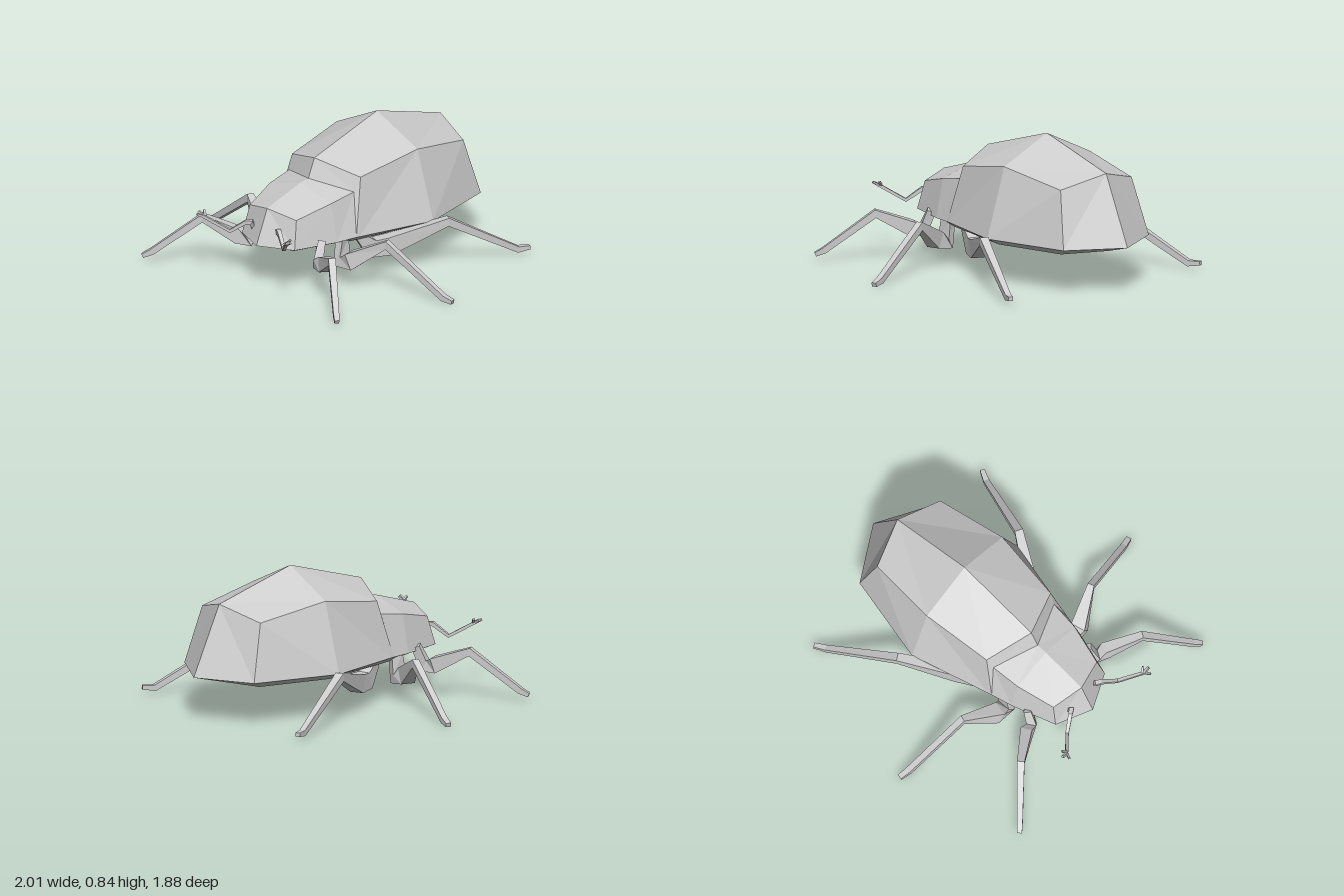
import * as THREE from 'three';

const shell = new THREE.MeshStandardMaterial({ color: 0xcccccc, flatShading: true });
shell.name = 'shellGrey';

function meshFrom(name, verts) {
  const g = new THREE.BufferGeometry();
  g.setAttribute('position', new THREE.Float32BufferAttribute(verts, 3));
  g.computeVertexNormals();
  const m = new THREE.Mesh(g, shell);
  m.name = name;
  return m;
}

// Half cross-sections (ridge, shoulder, rim, belly edge, belly centre) joined
// back to front and mirrored; a tip point closes the outer end.
function bodyPart(name, sections, backTip, frontTip) {
  const verts = [];
  const quad = (...q) => {
    for (const i of [0, 1, 2, 0, 2, 3]) verts.push(...q[i]);
    for (const i of [0, 2, 1, 0, 3, 2]) verts.push(-q[i][0], q[i][1], q[i][2]);
  };
  for (let k = 0; k + 1 < sections.length; k++) {
    const a = sections[k], b = sections[k + 1];
    for (let j = 0; j < 4; j++) quad(a[j], b[j], b[j + 1], a[j + 1]);
  }
  if (backTip) {
    const [r, s, m, b, c] = sections[0];
    quad(r, s, m, backTip);
    quad(m, b, c, backTip);
  }
  if (frontTip) {
    const [r, s, m, b, c] = sections[sections.length - 1];
    quad(r, frontTip, m, s);
    quad(m, frontTip, c, b);
  }
  return meshFrom(name, verts);
}

// Four-sided limb through points [x, y, z, halfWidth, halfHeight]
function limb(name, path, side) {
  const pts = path.map(p => new THREE.Vector3(p[0] * side, p[1], p[2]));
  const last = pts.length - 1;
  const along = pts[last].clone().sub(pts[0]);
  const across = new THREE.Vector3(along.z, 0, -along.x).normalize();
  const rings = pts.map((p, i) => {
    const t = new THREE.Vector3();
    if (i > 0) t.add(p.clone().sub(pts[i - 1]).normalize());
    if (i < last) t.add(pts[i + 1].clone().sub(p).normalize());
    t.normalize();
    const a = across.clone().addScaledVector(t, -across.dot(t)).normalize();
    const b = t.clone().cross(a);
    const [w, h] = path[i].slice(3);
    return [[1, 1], [-1, 1], [-1, -1], [1, -1]].map(([u, v]) =>
      p.clone().addScaledVector(a, u * w).addScaledVector(b, v * h).toArray());
  });
  const verts = [];
  const quad = (...q) => { for (const i of [0, 1, 2, 0, 2, 3]) verts.push(...q[i]); };
  for (let i = 0; i < last; i++)
    for (let j = 0; j < 4; j++) {
      const n = (j + 1) % 4;
      quad(rings[i][j], rings[i][n], rings[i + 1][n], rings[i + 1][j]);
    }
  quad(...rings[0].slice().reverse());
  quad(...rings[last]);
  return meshFrom(name, verts);
}

export function createModel() {
  const model = new THREE.Group();
  model.name = 'beetle';

  // Body: domed abdomen, step at the neck, then thorax and head in one wedge
  const neck = [[0, 0.58, 0.355], [0.265, 0.535, 0.245], [0.33, 0.28, 0.29], [0.27, 0.24, 0.29], [0, 0.24, 0.29]];
  model.add(bodyPart('abdomen', [
    [[0, 0.695, -0.75], [0.275, 0.62, -0.66], [0.33, 0.28, -0.75], [0.27, 0.235, -0.66], [0, 0.235, -0.77]],
    [[0, 0.85, -0.22], [0.33, 0.695, -0.22], [0.46, 0.28, -0.22], [0.37, 0.235, -0.22], [0, 0.235, -0.22]],
    [[0, 0.695, 0.305], [0.28, 0.62, 0.205], [0.335, 0.28, 0.27], [0.28, 0.24, 0.25], [0, 0.24, 0.26]],
    neck,
  ], [0, 0.28, -0.94], null));
  model.add(bodyPart('thoraxAndHead', [
    neck,
    [[0, 0.572, 0.42], [0.25, 0.505, 0.42], [0.3, 0.275, 0.42], [0.24, 0.25, 0.42], [0, 0.25, 0.42]],
    [[0, 0.485, 0.7], [0.19, 0.445, 0.65], [0.215, 0.275, 0.69], [0.17, 0.25, 0.65], [0, 0.25, 0.7]],
  ], null, [0, 0.275, 0.79]));

  // Legs: hip, bend, thick thigh, knee, thin shin, toe
  const legs = {
    frontLeg: [[0.26, 0.3, 0.51, 0.022, 0.025], [0.28, 0.18, 0.56, 0.03, 0.035], [0.35, 0.195, 0.58, 0.035, 0.045],
      [0.53, 0.29, 0.7, 0.022, 0.024], [0.755, 0.07, 0.895, 0.017, 0.018], [0.795, 0.045, 0.93, 0.014, 0.012]],
    middleLeg: [[0.27, 0.28, 0.35, 0.035, 0.025], [0.28, 0.14, 0.36, 0.045, 0.035], [0.36, 0.165, 0.36, 0.045, 0.05],
      [0.56, 0.29, 0.27, 0.02, 0.025], [0.94, 0.035, 0.185, 0.018, 0.018], [1.0, 0.02, 0.17, 0.016, 0.012]],
    hindLeg: [[0.26, 0.25, 0.2, 0.025, 0.025], [0.28, 0.16, 0.12, 0.035, 0.055], [0.33, 0.165, 0.02, 0.04, 0.055],
      [0.53, 0.285, -0.27, 0.025, 0.025], [0.7, 0.045, -0.68, 0.017, 0.018], [0.735, 0.05, -0.745, 0.014, 0.012]],
  };

  // Antennae: hooked base, long stalk and two small prongs
  const antenna = [[0.11, 0.34, 0.7, 0.012, 0.012], [0.11, 0.375, 0.72, 0.014, 0.014], [0.135, 0.375, 0.735, 0.012, 0.012],
    [0.22, 0.31, 0.785, 0.01, 0.01], [0.34, 0.4, 0.89, 0.009, 0.009], [0.375, 0.42, 0.89, 0.007, 0.007]];
  const prongs = [
    [[0.335, 0.395, 0.885, 0.007, 0.007], [0.355, 0.415, 0.925, 0.006, 0.006]],
    [[0.33, 0.4, 0.88, 0.007, 0.007], [0.355, 0.425, 0.865, 0.006, 0.006]],
  ];

  for (const [side, label] of [[1, 'left'], [-1, 'right']]) {
    for (const [name, path] of Object.entries(legs))
      model.add(limb(label + name[0].toUpperCase() + name.slice(1), path, side));
    model.add(limb(label + 'Antenna', antenna, side));
    prongs.forEach((p, i) => model.add(limb(label + 'AntennaProng' + (i + 1), p, side)));
  }
  return model;
}
